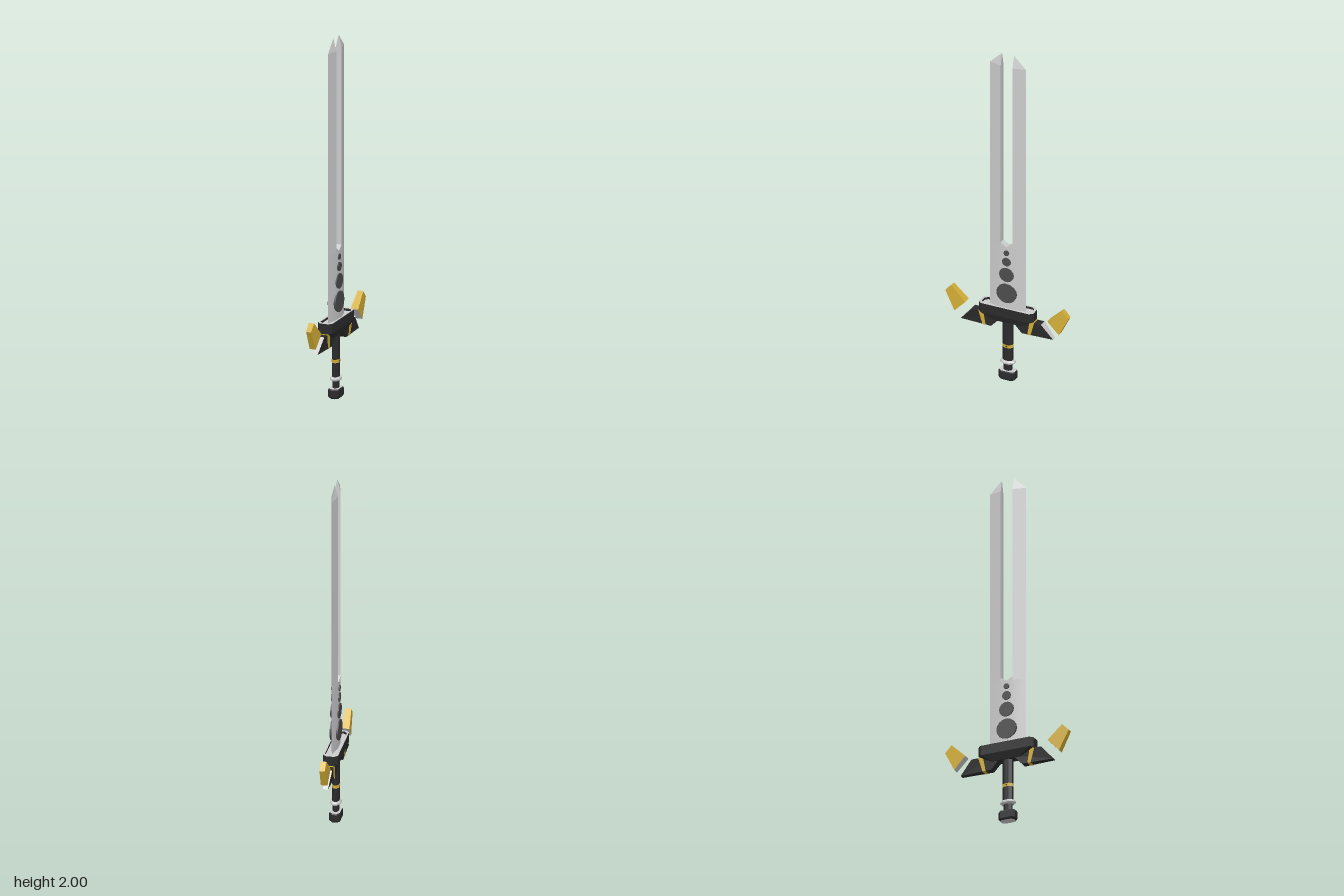
import * as THREE from 'three';
import { toCreasedNormals } from 'three/addons/utils/BufferGeometryUtils.js';

const mat = (name, color) => {
  const m = new THREE.MeshStandardMaterial({ color });
  m.name = name;
  return m;
};

export function createModel() {
  const silver = mat('silver', 0xcccccc);
  const black = mat('black', 0x2b2b2b);
  const gold = mat('gold', 0xd4af37);
  const discGrey = mat('disc grey', 0x4d4d4d);
  const model = new THREE.Group();
  model.name = 'greatsword';

  // Convex solid from faces [material, [points]]; each face is turned to look outwards.
  function solid(name, faces, crease = 0) {
    const all = faces.flatMap(f => f[1]);
    const mid = all.reduce((s, p) => s.add(p), new THREE.Vector3()).divideScalar(all.length);
    const mats = [...new Set(faces.map(f => f[0]))];
    const pos = [];
    let geo = new THREE.BufferGeometry();
    mats.forEach((m, i) => {
      const start = pos.length / 3;
      for (const [fm, pts] of faces) {
        if (fm !== m) continue;
        const c = pts.reduce((s, p) => s.add(p), new THREE.Vector3()).divideScalar(pts.length);
        const n = new THREE.Vector3();
        pts.forEach((p, k) => n.add(p.clone().sub(c).cross(pts[(k + 1) % pts.length].clone().sub(c))));
        const ring = n.dot(c.sub(mid)) < 0 ? [...pts].reverse() : pts;
        for (let k = 1; k < ring.length - 1; k++) {
          for (const p of [ring[0], ring[k], ring[k + 1]]) pos.push(p.x, p.y, p.z);
        }
      }
      geo.addGroup(start, pos.length / 3 - start, i);
    });
    geo.setAttribute('position', new THREE.Float32BufferAttribute(pos, 3));
    if (crease) {
      const groups = geo.groups;
      geo = toCreasedNormals(geo, crease);
      geo.groups = groups;
    } else geo.computeVertexNormals();
    return add(name, geo, mats.length > 1 ? mats : mats[0]);
  }
  function add(name, geo, material) {
    const mesh = new THREE.Mesh(geo, material);
    mesh.name = name;
    model.add(mesh);
    return mesh;
  }
  const V = (x, y, z) => new THREE.Vector3(x, y, z);

  // Plate with outline points [z, y, halfThickness]; edge k may have its own material.
  function plate(name, side, pts, main, edges = {}) {
    const a = pts.map(([z, y, h]) => V(h, y, z * side));
    const b = pts.map(([z, y, h]) => V(-h, y, z * side));
    const faces = [[main, a], [main, b]];
    pts.forEach((_, k) => {
      const n = (k + 1) % pts.length;
      faces.push([edges[k] ?? main, [a[k], a[n], b[n], b[k]]]);
    });
    return solid(name, faces);
  }

  // Rectangle with cut corners, and a loft through a stack of such rings.
  const cutRect = (hx, hz, c) => [[hx, hz - c], [hx - c, hz], [c - hx, hz], [-hx, hz - c],
    [-hx, c - hz], [c - hx, -hz], [hx - c, -hz], [hx, c - hz]];
  function loft(name, levels, side, bottom, top) {
    const rings = levels.map(([y, hx, hz, c]) => cutRect(hx, hz, c).map(([x, z]) => V(x, y, z)));
    const faces = [[bottom, rings[0]]];
    if (top) faces.push([top, rings.at(-1)]);
    for (let i = 0; i < rings.length - 1; i++) {
      for (let k = 0; k < 8; k++) {
        const n = (k + 1) % 8;
        faces.push([side, [rings[i][k], rings[i][n], rings[i + 1][n], rings[i + 1][k]]]);
      }
    }
    return solid(name, faces);
  }

  // Lower blade
  const T = 0.017, S = 0.035, W = 0.104;
  const section = y => [[0, W], [T, S], [T, -S], [0, -W], [-T, -S], [-T, S]].map(([x, z]) => V(x, y, z));
  const lo = section(0.42), hi = section(0.815);
  solid('lowerBlade', [[silver, lo], [silver, hi],
    ...lo.map((p, k) => [silver, [p, lo[(k + 1) % 6], hi[(k + 1) % 6], hi[k]]])], 0.4);

  for (const s of [1, -1]) {
    // Prong with a bevelled tip, and the sloping foot of the slot
    const [e0, r0, l0] = [V(0, 0.815, W * s), V(T, 0.815, S * s), V(-T, 0.815, S * s)];
    const [e1, r1, l1] = [V(0, 1.93, W * s), V(T, 1.93, S * s), V(-T, 1.93, S * s)];
    const tip = V(0, 2, S * s);
    solid('bladeProng', [[silver, [e0, r0, r1, e1]], [silver, [e0, l0, l1, e1]],
      [silver, [r0, l0, l1, tip, r1]], [silver, [e1, r1, tip]], [silver, [e1, l1, tip]]]);
    plate('slotFoot', s, [[0, 0.815, T], [S, 0.815, T], [S, 0.838, T]], silver);

    // Guard wing with a silver outer slope and a gold strip
    plate('guardWing', s, [[0.04, 0.365, 0.022], [0.09, 0.31, 0.02], [0.27, 0.31, 0.013],
      [0.203, 0.39, 0.022], [0.06, 0.39, 0.022]], black, { 2: silver });
    plate('wingStrip', s, [[0.122, 0.309, 0.0205], [0.14, 0.309, 0.0205], [0.163, 0.391, 0.0235],
      [0.136, 0.391, 0.0235]], gold);
    // Floating gold fin with a silver inner edge
    plate('goldFin', s, [[0.24, 0.42, 0.022], [0.305, 0.35, 0.018], [0.36, 0.46, 0.014],
      [0.322, 0.5, 0.016]], gold, { 0: silver });
  }

  // Round studs through the blade
  for (const [y, r, n] of [[0.533, 0.058, 16], [0.647, 0.042, 14], [0.727, 0.025, 12], [0.781, 0.016, 10]]) {
    const geo = new THREE.CylinderGeometry(r, r, 0.046, n).rotateZ(Math.PI / 2);
    add('bladeStud', toCreasedNormals(geo, 0.6), discGrey).position.y = y;
  }

  // Guard: black shell, silver rim and sunken silver floor
  loft('guard', [[0.355, 0.026, 0.09, 0.012], [0.395, 0.041, 0.16, 0.018], [0.45, 0.041, 0.16, 0.018]],
    black, black, null);
  const outline = (hx, hz, c) => cutRect(hx, hz, c).map(([x, z]) => new THREE.Vector2(x, z));
  const rim = new THREE.Shape(outline(0.041, 0.16, 0.018));
  rim.holes.push(new THREE.Path(outline(0.032, 0.146, 0.016)));
  add('guardRim', new THREE.ExtrudeGeometry(rim, { depth: 0.015, bevelEnabled: false })
    .rotateX(-Math.PI / 2), [silver, black]).position.y = 0.4352;
  add('guardFloor', new THREE.ShapeGeometry(new THREE.Shape(outline(0.033, 0.147, 0.016)))
    .rotateX(-Math.PI / 2), silver).position.y = 0.437;

  // Eight-sided grip parts, flattened sideways
  function gripPart(name, y0, y1, r0, r1, material) {
    const geo = new THREE.CylinderGeometry(r1, r0, y1 - y0, 8).toNonIndexed();
    geo.rotateY(Math.PI / 8).scale(0.68, 1, 1).computeVertexNormals();
    add(name, geo, material).position.y = (y0 + y1) / 2;
  }
  gripPart('grip', 0.115, 0.37, 0.03, 0.03, black);
  gripPart('gripNeck', 0.045, 0.1, 0.025, 0.025, black);
  gripPart('collarLower', 0.096, 0.103, 0.037, 0.045, silver);
  gripPart('collarMiddle', 0.103, 0.11, 0.045, 0.045, silver);
  gripPart('collarUpper', 0.11, 0.117, 0.045, 0.037, silver);
  gripPart('gripBand', 0.196, 0.214, 0.032, 0.032, gold);
  for (const s of [1, -1]) {
    const notch = add('bandNotch', new THREE.BoxGeometry(0.004, 0.008, 0.008), black);
    notch.position.set(0.0195 * s, 0.205, 0);
    notch.rotation.x = Math.PI / 4;
  }

  // Pommel
  loft('pommel', [[0, 0.024, 0.04, 0.013], [0.01, 0.03, 0.049, 0.015], [0.048, 0.03, 0.049, 0.015],
    [0.055, 0.027, 0.045, 0.014]], black, silver, silver);

  return model;
}
